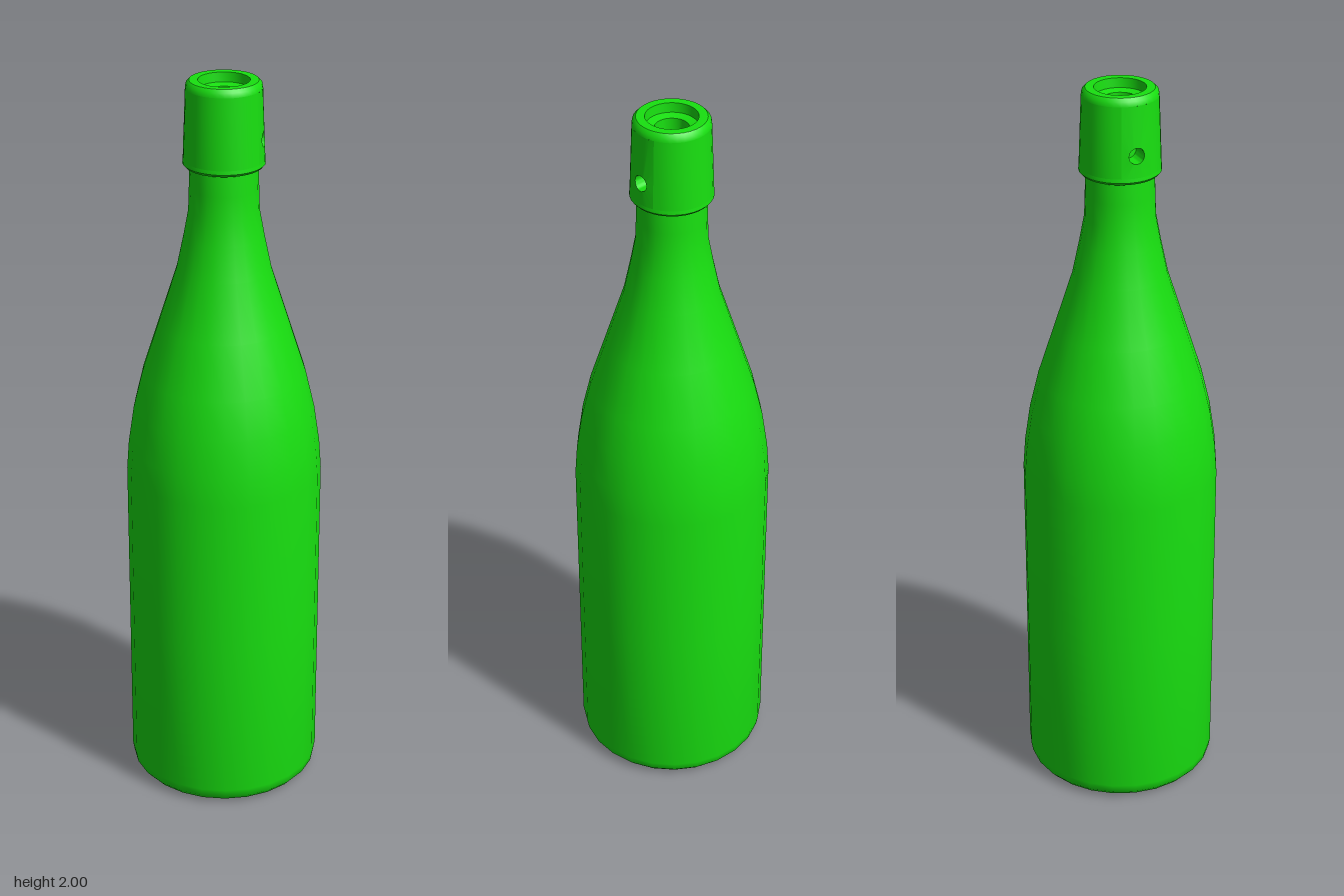
import * as THREE from 'three';
import { toCreasedNormals } from 'three/addons/utils/BufferGeometryUtils.js';

const material = new THREE.MeshStandardMaterial({ color: 0x18e010, side: THREE.DoubleSide });

function addMesh(parent, name, geometry, crease = 0.75) {
  const mesh = new THREE.Mesh(toCreasedNormals(geometry, crease), material);
  mesh.name = name;
  parent.add(mesh);
  return mesh;
}

function lathe(points, segments, start = 0, length = Math.PI * 2) {
  return new THREE.LatheGeometry(points.map(([r, y]) => new THREE.Vector2(r, y)), segments, start, length);
}

// Collar wall: tapers gently between these heights
const wallLow = 1.795, wallHigh = 1.98, lowRadius = 0.105, highRadius = 0.098;
const patchAngle = Math.PI / 8;
const wallRadius = (y) => THREE.MathUtils.mapLinear(y, wallLow, wallHigh, lowRadius, highRadius);

// Piece of collar wall with a round blind socket, made from nested loops
function socketPatch() {
  const n = 24, holeY = 1.852, holeR = 0.021;
  const positions = [], index = [];
  const loops = [[1, 0], [0, 0], [0, 0.05], [0, 0.05]];
  loops.forEach(([outer, depth], k) => {
    for (let i = 0; i < n; i++) {
      // walk round a square, six steps to a side
      const side = Math.floor(i / 6), t = (i % 6) / 3 - 1;
      const [sx, sy] = [[t, -1], [1, t], [-t, 1], [-1, -t]][side];
      const around = Math.atan2(sy, sx);
      const size = k === 3 ? 0 : holeR;
      const a = outer ? sx * patchAngle : Math.asin(size * Math.cos(around) / wallRadius(holeY));
      const y = outer ? (sy < 0 ? THREE.MathUtils.lerp(wallLow, holeY, 1 + sy) : THREE.MathUtils.lerp(holeY, wallHigh, sy))
        : holeY + size * Math.sin(around);
      const r = wallRadius(y);
      positions.push(r * Math.cos(a) - depth, y, -r * Math.sin(a));
    }
  });
  for (let k = 0; k < loops.length - 1; k++) {
    for (let i = 0; i < n; i++) {
      const a = k * n + i, b = k * n + (i + 1) % n;
      index.push(a, b, b + n);
      if (k < 2) index.push(a, b + n, a + n);
    }
  }
  const geometry = new THREE.BufferGeometry();
  geometry.setAttribute('position', new THREE.Float32BufferAttribute(positions, 3));
  geometry.setIndex(index);
  return geometry;
}

export function createModel() {
  const bottle = new THREE.Group();
  bottle.name = 'bottle';

  // Body, shoulder and neck, 25-sided with a corner on -x
  addMesh(bottle, 'body', lathe([
    [0, 0.015], [0.12, 0.012], [0.2, 0.003], [0.225, 0], [0.245, 0.007], [0.258, 0.022], [0.262, 0.045],
    [0.262, 0.5], [0.262, 0.93], [0.256, 1.01], [0.241, 1.11], [0.217, 1.21], [0.172, 1.35],
    [0.124, 1.5], [0.105, 1.59], [0.092, 1.66], [0.09, 1.72], [0.088, 1.79],
  ], 25, -Math.PI / 2), 0.9);

  const collar = new THREE.Group();
  collar.name = 'collar';
  bottle.add(collar);

  // Rounded lower lip
  addMesh(collar, 'collarLip', lathe([[0.086, 1.778], [0.1, 1.778], [0.106, 1.785], [lowRadius, wallLow]], 32));

  // Two wall halves, with a socketed patch between them on each side
  for (const turn of [0, Math.PI]) {
    const start = Math.PI / 2 + patchAngle + turn;
    addMesh(collar, 'collarWall', lathe([[lowRadius, wallLow], [highRadius, wallHigh]], 12, start, Math.PI - 2 * patchAngle));
    addMesh(collar, 'sideSocket', socketPatch()).rotation.y = turn;
  }

  // Rounded rim, stepped mouth and closed bore
  addMesh(collar, 'mouth', lathe([
    [highRadius, wallHigh], [0.096, 1.992], [0.088, 2], [0.066, 2],
    [0.064, 1.975], [0.043, 1.97], [0.042, 1.91], [0, 1.91],
  ], 32));

  return bottle;
}
